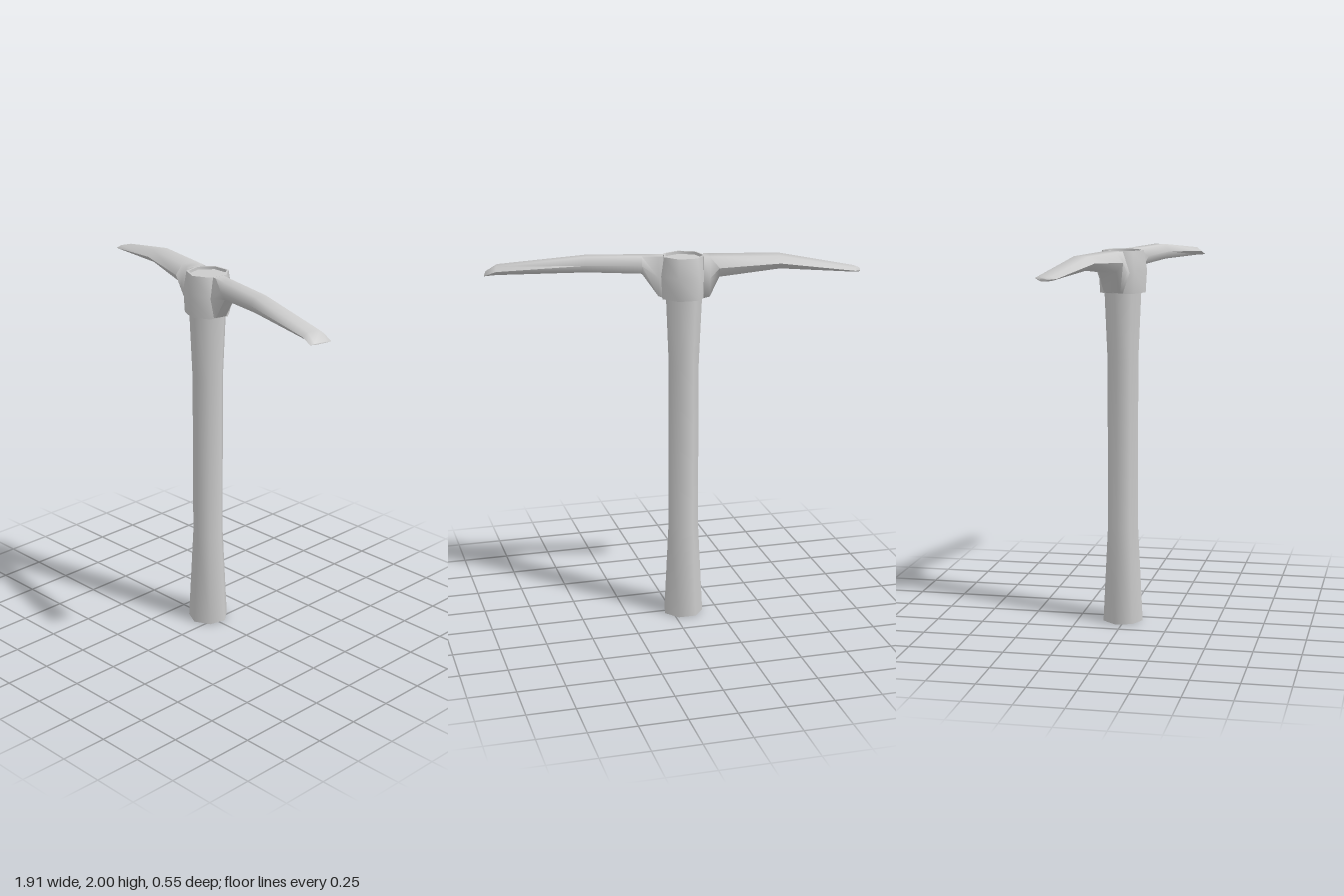
import * as THREE from 'three';
import { toCreasedNormals } from 'three/addons/utils/BufferGeometryUtils.js';

const material = new THREE.MeshStandardMaterial({ color: 0xcccccc });
const SIDES = 7;

function addMesh(parent, name, geometry) {
  const mesh = new THREE.Mesh(toCreasedNormals(geometry, 1.25), material);
  mesh.name = name;
  parent.add(mesh);
}

// Seven-sided turned part from [radius, y] pairs, listed bottom to top
function turned(profile) {
  return new THREE.LatheGeometry(profile.map(([r, y]) => new THREE.Vector2(r, y)), SIDES);
}

// Hexagonal loft along x from sections [x, top, bottom, halfWidth], x ascending
function loft(sections) {
  const positions = [], index = [], n = 6;
  for (const [x, top, bottom, w] of sections) {
    const mid = (top + bottom) / 2;
    const ring = [[w, mid], [w * 0.55, top], [-w * 0.55, top], [-w, mid], [-w * 0.55, bottom], [w * 0.55, bottom]];
    for (const [z, y] of ring) positions.push(x, y, z);
  }
  const last = (sections.length - 1) * n;
  for (let i = 0; i < last; i += n) {
    for (let j = 0; j < n; j++) {
      const k = (j + 1) % n;
      index.push(i + j, i + n + j, i + k, i + k, i + n + j, i + n + k);
    }
  }
  // End caps
  for (let j = 1; j < n - 1; j++) {
    index.push(0, j, j + 1, last, last + j + 1, last + j);
  }
  const geometry = new THREE.BufferGeometry();
  geometry.setAttribute('position', new THREE.Float32BufferAttribute(positions, 3));
  geometry.setIndex(index);
  return geometry;
}

export function createModel() {
  const model = new THREE.Group();
  model.name = 'pickaxe';

  // Everything is arranged around the handle's axis
  const tool = new THREE.Group();
  tool.name = 'tool';
  tool.position.set(-0.062, 0, -0.012);
  model.add(tool);

  // Handle, flared at the grip end and into the socket
  addMesh(tool, 'handle', turned([
    [0, 0], [0.109, 0], [0.083, 0.52], [0.083, 1.42], [0.099, 1.79], [0.101, 1.985], [0, 1.985],
  ]));

  // Socket ring around the handle's top
  addMesh(tool, 'socket', turned([
    [0.095, 1.78], [0.122, 1.78], [0.129, 1.9], [0.112, 2], [0.102, 2], [0.101, 1.97],
  ]));

  // Head arms, turned slightly about the handle
  const head = new THREE.Group();
  head.name = 'head';
  head.rotation.y = -0.228;
  tool.add(head);

  // Narrow arm with a chisel edge
  addMesh(head, 'chiselArm', loft([
    [0.104, 2, 1.782, 0.055],
    [0.13, 2, 1.79, 0.055],
    [0.215, 2, 1.91, 0.055],
    [0.5, 2, 1.92, 0.057],
    [0.965, 1.953, 1.91, 0.06],
    [1.026, 1.913, 1.907, 0.06],
  ]));

  // Broad arm tapering to a blunt point
  addMesh(head, 'pointedArm', loft([
    [-0.918, 1.925, 1.91, 0.02],
    [-0.89, 1.933, 1.912, 0.059],
    [-0.5, 2, 1.935, 0.074],
    [-0.185, 2, 1.895, 0.085],
    [-0.135, 2, 1.79, 0.085],
    [-0.104, 2, 1.782, 0.085],
  ]));

  return model;
}
